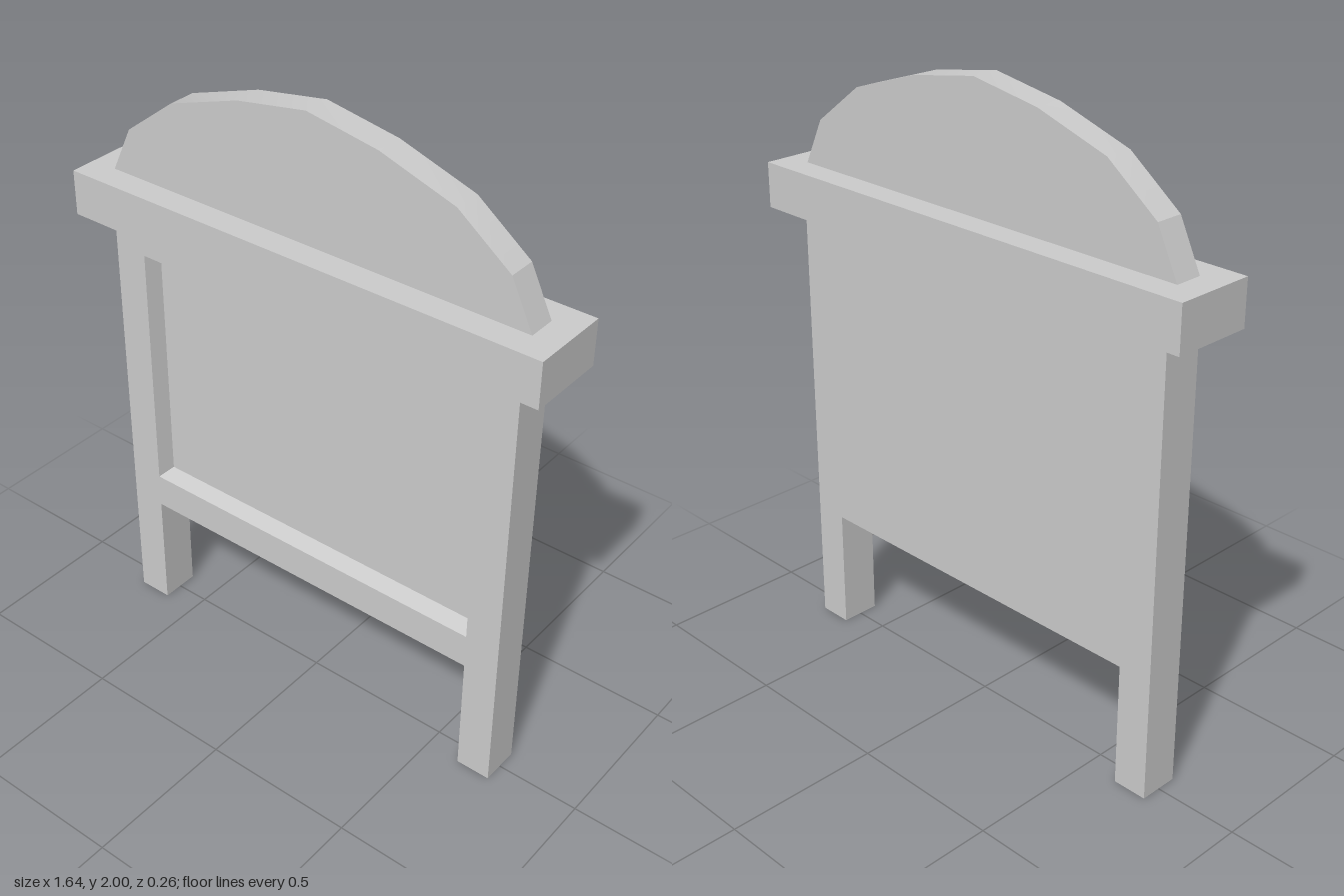
import * as THREE from 'three';
import { toCreasedNormals } from 'three/addons/utils/BufferGeometryUtils.js';

const material = new THREE.MeshStandardMaterial({ color: 0xcccccc });

function addPart(group, name, geometry) {
  const mesh = new THREE.Mesh(geometry, material);
  mesh.name = name;
  group.add(mesh);
  return mesh;
}

function shapeFrom(points) {
  return new THREE.Shape(points.map(([x, y]) => new THREE.Vector2(x, y)));
}

// Flat shape extruded from z0 to z1
function slab(shape, z0, z1) {
  return new THREE.ExtrudeGeometry(shape, { depth: z1 - z0, bevelEnabled: false }).translate(0, 0, z0);
}

const W = 0.728, LEG = 0.615, TOP = 1.455, RAIL = 0.405; // board half width, leg inner edge, heights
const HALF = 0.065, FLOOR = 0.01;                        // half thickness, z of the recessed panel
const Y0 = 0.535, Y1 = 1.34, BEVEL = 0.015;              // recess floor heights, slope of its sides

// Board outline with two legs
function boardShape() {
  return shapeFrom([
    [-W, 0], [-LEG, 0], [-LEG, RAIL], [LEG, RAIL],
    [LEG, 0], [W, 0], [W, TOP], [-W, TOP],
  ]);
}

export function createModel() {
  const group = new THREE.Group();
  group.name = 'noticeBoard';

  // Solid back layer, whose front is the recessed panel
  addPart(group, 'backPanel', slab(boardShape(), -HALF, FLOOR));

  // Front layer with an opening that widens towards the front
  const frameShape = boardShape();
  const xi = LEG - BEVEL;
  frameShape.holes.push(new THREE.Path(
    [[-xi, Y0], [-xi, Y1], [xi, Y1], [xi, Y0]].map(([x, y]) => new THREE.Vector2(x, y))
  ));
  const frame = slab(frameShape, FLOOR, HALF);
  const p = frame.attributes.position;
  for (let i = 0; i < p.count; i++) {
    const x = p.getX(i), y = p.getY(i);
    const onOpening = y > Y0 - 0.01 && y < Y1 + 0.01;
    if (onOpening && p.getZ(i) > HALF - 0.001) {
      p.setXY(i, x + Math.sign(x) * BEVEL, y + (y > 1 ? BEVEL : -BEVEL));
    }
  }
  frame.computeVertexNormals();
  addPart(group, 'frontFrame', frame);

  // Overhanging cornice
  addPart(group, 'cornice', new THREE.BoxGeometry(1.644, 0.145, 0.262)).position.y = 1.5275;

  // Faceted arched crest
  const half = [[0.735, 1.6], [0.663, 1.748], [0.488, 1.88], [0.24, 1.96]];
  const mirrored = half.map(([x, y]) => [-x, y]).reverse();
  const crest = slab(shapeFrom([...half, [0, 2], ...mirrored]), -0.045, 0.045);
  addPart(group, 'archedCrest', toCreasedNormals(crest, 0.4));

  return group;
}
